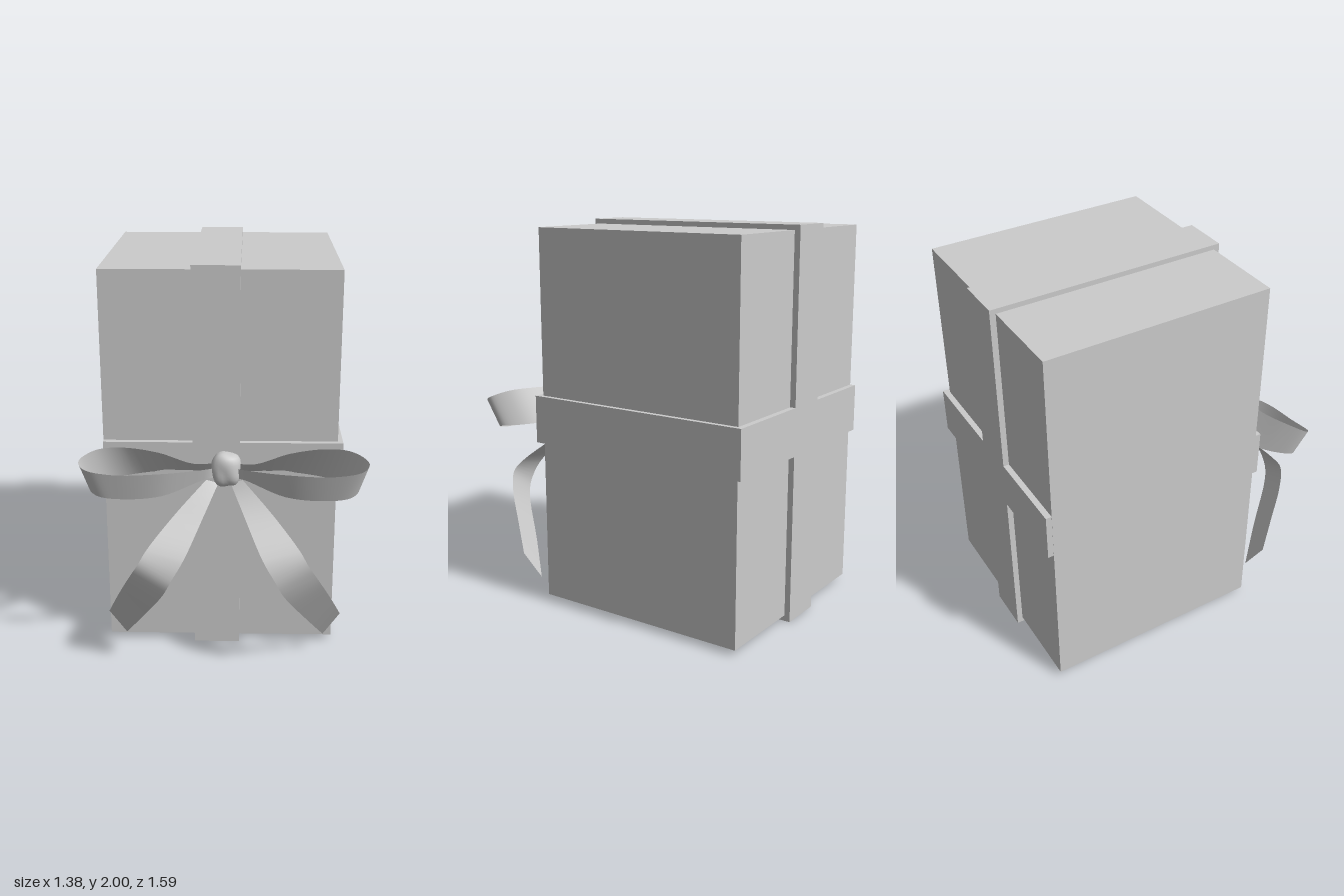
import * as THREE from 'three';

const grey = new THREE.MeshStandardMaterial({ color: 0xcccccc });
const cloth = new THREE.MeshStandardMaterial({ color: 0xcccccc, side: THREE.DoubleSide });

// Box given by its minimum and maximum corners
function block(name, min, max) {
  const size = max.map((v, i) => v - min[i]);
  const mesh = new THREE.Mesh(new THREE.BoxGeometry(...size), grey);
  mesh.position.set(...max.map((v, i) => (v + min[i]) / 2));
  mesh.name = name;
  return mesh;
}

// Thin strip lofted between two edge curves; side = -1 mirrors it in x
function ribbon(name, edgeA, edgeB, side, steps) {
  const curves = [edgeA, edgeB].map((edge) =>
    new THREE.CatmullRomCurve3(edge.map(([x, y, z]) => new THREE.Vector3(x * side, y, z))));
  const positions = [];
  const index = [];
  for (let i = 0; i <= steps; i++) {
    for (const curve of curves) positions.push(...curve.getPoint(i / steps).toArray());
    if (i < steps) {
      const a = i * 2;
      if (side > 0) index.push(a, a + 1, a + 2, a + 1, a + 3, a + 2);
      else index.push(a, a + 2, a + 1, a + 1, a + 2, a + 3);
    }
  }
  const geometry = new THREE.BufferGeometry();
  geometry.setAttribute('position', new THREE.Float32BufferAttribute(positions, 3));
  geometry.setIndex(index);
  geometry.computeVertexNormals();
  const mesh = new THREE.Mesh(geometry, cloth);
  mesh.name = name;
  return mesh;
}

// Bow loop: out along the back, round the tip, home along the front
const loopTop = [
  [0.03, 1.04, 0.5], [0.15, 1.05, 0.54], [0.32, 1.11, 0.55], [0.5, 1.135, 0.55],
  [0.62, 1.135, 0.59], [0.69, 1.105, 0.66], [0.665, 1.08, 0.7], [0.53, 1.055, 0.71],
  [0.3, 1.05, 0.68], [0.1, 1.03, 0.57], [0.03, 1.02, 0.51],
];
const loopBottom = [
  [0.03, 0.98, 0.47], [0.15, 0.98, 0.45], [0.3, 0.97, 0.43], [0.48, 0.96, 0.47],
  [0.59, 0.955, 0.54], [0.65, 0.95, 0.62], [0.61, 0.93, 0.665], [0.5, 0.915, 0.67],
  [0.3, 0.92, 0.64], [0.1, 0.97, 0.55], [0.03, 0.97, 0.51],
];

// Hanging tail: swings forward, bends, then falls back to a slanted end
const tailInner = [
  [0.03, 0.93, 0.49], [0.1, 0.8, 0.61], [0.19, 0.64, 0.765], [0.25, 0.54, 0.79],
  [0.29, 0.46, 0.775], [0.41, 0.25, 0.62], [0.51, 0.09, 0.5],
];
const tailOuter = [
  [0.09, 0.95, 0.5], [0.24, 0.81, 0.61], [0.37, 0.68, 0.74], [0.41, 0.62, 0.775],
  [0.46, 0.53, 0.74], [0.53, 0.38, 0.64], [0.59, 0.24, 0.55],
];

// Knot: a squarish ball, narrower at the bottom, with soft folds
function makeKnot() {
  const geometry = new THREE.SphereGeometry(1, 24, 16);
  const p = geometry.attributes.position;
  const v = new THREE.Vector3();
  for (let i = 0; i < p.count; i++) {
    v.fromBufferAttribute(p, i);
    const round = 1 / Math.pow(Math.abs(v.x) ** 3 + Math.abs(v.y) ** 3 + Math.abs(v.z) ** 3, 1 / 3);
    const fold = 1 + 0.04 * Math.sin(5 * v.x + 3 * v.y);
    const taper = 0.9 + 0.12 * v.y;
    v.multiplyScalar(round * fold);
    p.setXYZ(i, v.x * 0.078 * taper, v.y * 0.084, v.z * 0.058);
  }
  geometry.computeVertexNormals();
  const mesh = new THREE.Mesh(geometry, grey);
  mesh.position.set(0.01, 1.01, 0.505);
  mesh.name = 'knot';
  return mesh;
}

export function createModel() {
  const model = new THREE.Group();
  model.name = 'giftBox';

  // Box and its two wrapping bands; the crossband ends flush on the -x side
  model.add(
    block('box', [-0.605, 0.03, -0.765], [0.56, 1.975, 0.405]),
    block('verticalBand', [-0.16, 0, -0.795], [0.075, 2, 0.435]),
    block('horizontalBand', [-0.604, 0.875, -0.795], [0.585, 1.122, 0.435]),
  );

  // Bow on the front
  const bow = new THREE.Group();
  bow.name = 'bow';
  for (const [label, side] of [['left', 1], ['right', -1]]) {
    bow.add(ribbon(label + 'Loop', loopTop, loopBottom, side, 60));
    bow.add(ribbon(label + 'Tail', tailInner, tailOuter, side, 30));
  }
  bow.add(makeKnot());
  model.add(bow);
  return model;
}
